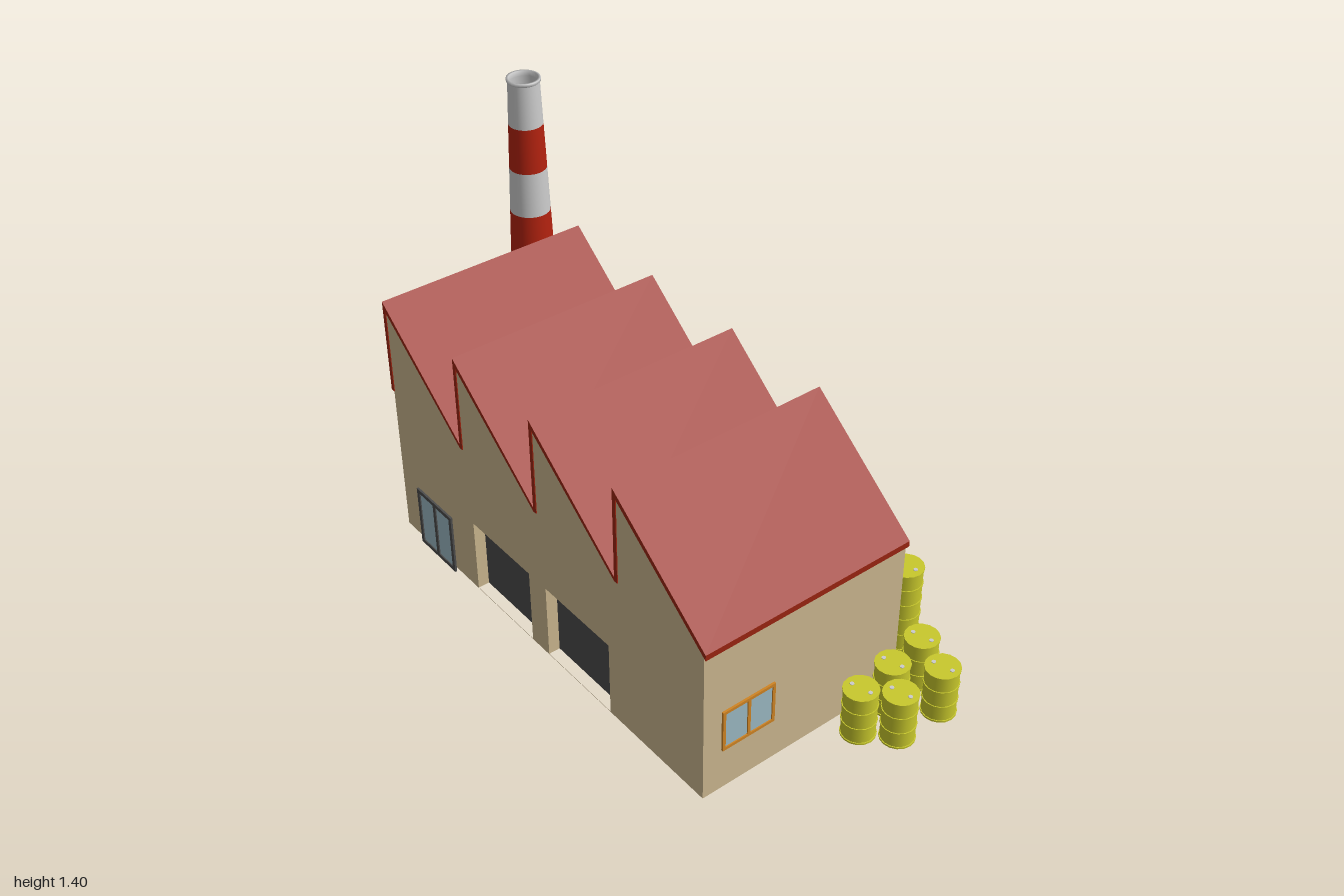
import * as THREE from 'three';

const mat = (name, color, side = THREE.FrontSide) => {
  const m = new THREE.MeshStandardMaterial({ color, side });
  m.name = name;
  return m;
};
const M = {
  wall: mat('wallTan', 0xcbb78f, THREE.DoubleSide),
  roof: mat('roofRed', 0x9a2410),
  band: mat('chimneyRed', 0xb3220f, THREE.DoubleSide),
  cab: mat('cabRed', 0xd0220f),
  light: mat('lightGrey', 0xcccccc, THREE.DoubleSide),
  yellow: mat('barrelYellow', 0xc8c82c),
  frame: mat('frameOrange', 0xcf8424),
  glass: mat('glassBlue', 0x9bb9c3, THREE.DoubleSide),
  dark: mat('darkGrey', 0x4c4c4c),
  black: mat('tyreBlack', 0x202022),
};

function add(parent, name, geo, material, x = 0, y = 0, z = 0) {
  const m = new THREE.Mesh(geo, material);
  m.name = name;
  m.position.set(x, y, z);
  parent.add(m);
  return m;
}
function group(parent, name, x = 0, y = 0, z = 0) {
  const g = new THREE.Group();
  g.name = name;
  g.position.set(x, y, z);
  parent.add(g);
  return g;
}
// box given by its min and max corners
function box(parent, name, material, x0, x1, y0, y1, z0, z1) {
  return add(parent, name, new THREE.BoxGeometry(x1 - x0, y1 - y0, z1 - z0), material,
    (x0 + x1) / 2, (y0 + y1) / 2, (z0 + z1) / 2);
}
const polygon = pts => new THREE.Shape(pts.map(p => new THREE.Vector2(p[0], p[1])));
const rect = (x0, x1, y0, y1) => [[x0, y0], [x1, y0], [x1, y1], [x0, y1]];

// two-pane window facing +z, turned by angle about y
function paned(parent, name, frameMat, x, y, z, angle, w = 0.19, h = 0.148, bar = 0.01) {
  const g = group(parent, name, x, y, z);
  g.rotation.y = angle;
  const s = polygon(rect(-w / 2, w / 2, -h / 2, h / 2));
  for (const k of [-1, 1]) {
    const a = k * bar / 2, b = k * (w / 2 - bar);
    s.holes.push(polygon(rect(Math.min(a, b), Math.max(a, b), -h / 2 + bar, h / 2 - bar)));
  }
  add(g, 'frame', new THREE.ExtrudeGeometry(s, { depth: 0.007, bevelEnabled: false }), frameMat);
  add(g, 'panes', new THREE.PlaneGeometry(w - bar, h - bar), M.glass, 0, 0, 0.003);
}

const X0 = -0.54, X1 = 0.2, BASE = 0.008, ZF = 0.775, ZB = -0.78;
const RIDGES = [0.785, 0.385, -0.005, -0.395, -0.79];

function buildFactory(root) {
  const f = group(root, 'factory');

  // side walls with a saw-tooth top; the left-hand one has two loading bays
  const top = [];
  for (let i = 0; i < 4; i++) {
    top.push([i ? RIDGES[i] + 0.007 : ZF, 0.56], [RIDGES[i + 1] + 0.008, 0.863]);
  }
  const outline = [[ZF, BASE], ...top, [ZB, 0.56], [ZB, BASE]];
  const bays = [[-0.36, -0.055], [0.03, 0.345]], bayTop = 0.275;
  for (const [name, x, open] of [['rightWall', X1, false], ['leftWall', X0, true]]) {
    const s = polygon(outline);
    if (open) for (const [a, b] of bays) s.holes.push(polygon(rect(a, b, BASE + 0.002, bayTop)));
    add(f, name, new THREE.ShapeGeometry(s), M.wall, x).rotation.y = -Math.PI / 2;
  }
  // front and back walls
  for (const [name, z] of [['frontWall', ZF], ['backWall', ZB]]) {
    add(f, name, new THREE.PlaneGeometry(X1 - X0, 0.56 - BASE), M.wall, (X0 + X1) / 2, (0.56 + BASE) / 2, z);
  }
  // recessed loading bays
  for (const [a, b] of bays) {
    const xi = X0 + 0.04;
    box(f, 'bayDoor', M.dark, xi, xi + 0.005, BASE, bayTop, a, b);
    box(f, 'bayJamb', M.wall, X0 + 0.001, xi, BASE, bayTop, a - 0.004, a);
    box(f, 'bayJamb', M.wall, X0 + 0.001, xi, BASE, bayTop, b, b + 0.004);
    box(f, 'bayLintel', M.wall, X0 + 0.001, xi, bayTop, bayTop + 0.004, a, b);
  }

  // saw-tooth roof sheet
  const outer = [[RIDGES[0], 0.565]], inner = [[RIDGES[0], 0.545]], t = 0.014;
  for (let i = 1; i < 5; i++) {
    outer.push([RIDGES[i], 0.88], [RIDGES[i], 0.565]);
    inner.push([RIDGES[i] + t, 0.848], [RIDGES[i] + t, 0.55], [RIDGES[i], 0.55]);
  }
  const roof = new THREE.ExtrudeGeometry(polygon([...outer, ...inner.reverse()]),
    { depth: X1 - X0 + 0.006, bevelEnabled: false });
  add(f, 'roof', roof, M.roof, X1 + 0.003).rotation.y = -Math.PI / 2;

  // windows and entrance
  paned(f, 'frontWindow', M.frame, -0.38, 0.233, ZF, 0);
  paned(f, 'backWindow', M.frame, -0.38, 0.233, ZB, Math.PI);
  for (const z of [0.59, 0.165, -0.195, -0.6]) paned(f, 'sideWindow', M.frame, X1, 0.453, z, Math.PI / 2);
  paned(f, 'entranceDoor', M.dark, X0 - 0.01, 0.12, -0.57, -Math.PI / 2, 0.2, 0.222, 0.014);
}

// hollow tapered chimney in nine bands
function buildChimney(root) {
  const g = group(root, 'chimney', 0.093, 0, -0.902);
  const h = 0.1545, radius = y => 0.098 - 0.047 * (y / 1.4);
  for (let i = 0; i < 9; i++) {
    const y0 = BASE + i * h, y1 = y0 + h;
    add(g, 'band', new THREE.CylinderGeometry(radius(y1), radius(y0), h, 24, 1, true),
      i % 2 ? M.band : M.light, 0, (y0 + y1) / 2);
  }
  const lip = [[0.047, 1.385], [0.055, 1.392], [0.055, 1.402], [0.047, 1.402], [0.047, 1.385]];
  add(g, 'rim', new THREE.LatheGeometry(lip.map(p => new THREE.Vector2(...p)), 24), M.light);
}

function buildBarrels(root) {
  const g = group(root, 'barrels');
  const H = 0.175;
  const drum = new THREE.CylinderGeometry(0.052, 0.052, H - 0.006, 16);
  const hoop = new THREE.CylinderGeometry(0.055, 0.055, 0.006, 16);
  const cap = new THREE.CylinderGeometry(0.007, 0.007, 0.004, 8);
  const spots = [[-0.025, 0.86, 1], [0.053, 0.943, 1], [0.12, 0.84, 1], [0.222, 0.943, 1], [0.265, 0.815, 1],
    [0.3, 0.695, 2], [0.3, 0.58, 2], [0.3, 0.45, 1], [0.3, 0.33, 2]];
  for (const [x, z, count] of spots) {
    for (let i = 0; i < count; i++) {
      const b = group(g, 'barrel', x, 0.01 + i * H, z);
      add(b, 'drum', drum, M.yellow, 0, H / 2);
      for (const y of [0.003, H / 3, H * 2 / 3, H - 0.003]) add(b, 'hoop', hoop, M.yellow, 0, y);
      for (const s of [-1, 1]) add(b, 'cap', cap, M.light, s * 0.008, H, s * 0.03);
    }
  }
}

function buildTruck(root) {
  const t = group(root, 'truck', 0.424, 0, 0);
  const W = 0.104;
  box(t, 'cargoBox', M.light, -W, W, 0.08, 0.323, -0.465, -0.022);
  box(t, 'chassis', M.black, -0.085, 0.085, 0.05, 0.08, -0.465, 0.1);
  box(t, 'rearBumper', M.dark, -0.12, 0.12, 0.06, 0.078, -0.468, -0.456);

  // cab with sloping front
  const profile = polygon([[-0.02, 0.045], [0.143, 0.045], [0.143, 0.135], [0.11, 0.265], [-0.02, 0.265]]);
  const cab = new THREE.ExtrudeGeometry(profile, { depth: 2 * W, bevelEnabled: false });
  add(t, 'cab', cab, M.cab, W).rotation.y = -Math.PI / 2;
  const shield = add(t, 'windscreen', new THREE.BoxGeometry(0.176, 0.12, 0.004), M.glass, 0, 0.198, 0.127);
  shield.rotation.x = -Math.atan2(0.033, 0.13);
  box(t, 'grille', M.black, -0.07, 0.07, 0.07, 0.097, 0.142, 0.146);
  box(t, 'frontBumper', M.dark, -W, W, 0.038, 0.066, 0.115, 0.152);

  // parts on both sides
  const tyre = new THREE.CylinderGeometry(0.043, 0.043, 0.036, 20).rotateZ(Math.PI / 2);
  const hub = new THREE.CylinderGeometry(0.033, 0.033, 0.004, 20).rotateZ(Math.PI / 2);
  const panes = [[[0.056, 0.135], [0.128, 0.135], [0.1, 0.252], [0.056, 0.252]], rect(0.0, 0.042, 0.135, 0.252)];
  for (const s of [-1, 1]) {
    for (const z of [0.033, -0.37]) {
      add(t, 'tyre', tyre, M.black, s * 0.101, 0.045, z);
      add(t, 'hub', hub, M.glass, s * 0.119, 0.045, z);
    }
    for (const p of panes) {
      add(t, 'sideGlass', new THREE.ShapeGeometry(polygon(p)), M.glass, s * (W + 0.002)).rotation.y = -Math.PI / 2;
    }
    box(t, 'headlight', M.light, s * 0.086 - 0.012, s * 0.086 + 0.012, 0.072, 0.095, 0.142, 0.147);
    box(t, 'mirror', M.dark, s * 0.12 - 0.012, s * 0.12 + 0.012, 0.19, 0.246, 0.105, 0.113);
    box(t, 'sideRail', M.dark, s * 0.09 - 0.005, s * 0.09 + 0.005, 0.05, 0.062, -0.32, -0.02);
  }
}

export function createModel() {
  const root = new THREE.Group();
  root.name = 'factoryYard';
  buildFactory(root);
  buildChimney(root);
  buildBarrels(root);
  buildTruck(root);
  return root;
}
